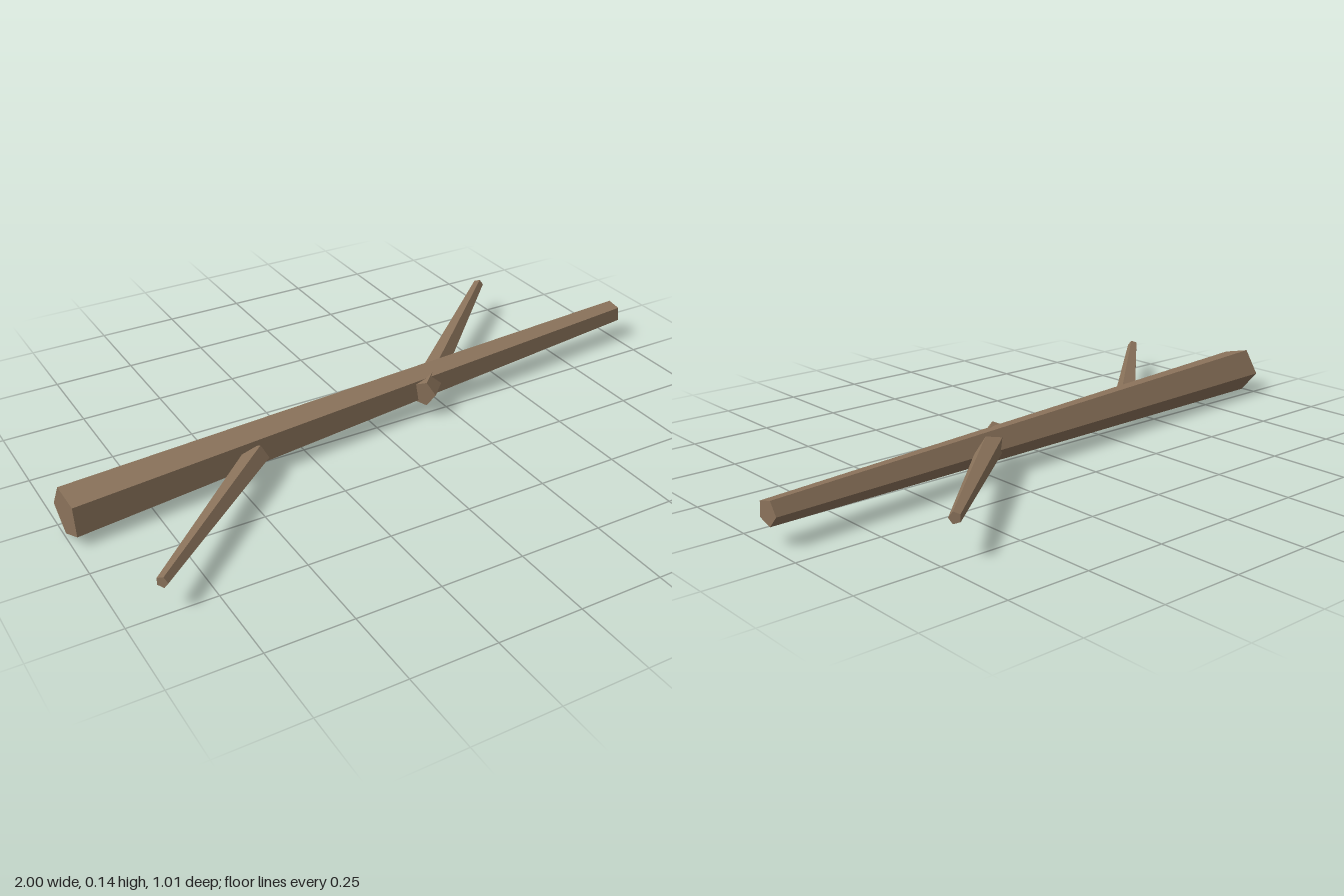
import * as THREE from 'three';

// Tapered five-sided limb from one point to another, with a chosen roll (degrees)
function limb(name, from, to, baseRadius, tipRadius, roll, material) {
  const a = new THREE.Vector3(...from);
  const b = new THREE.Vector3(...to);
  const axis = b.clone().sub(a);
  const length = axis.length();
  axis.normalize();

  // Horizontal direction across the limb, on its front side
  const side = new THREE.Vector3(-axis.z, 0, axis.x).multiplyScalar(Math.sign(axis.x)).normalize();
  const across = axis.clone().cross(side);

  const indexed = new THREE.CylinderGeometry(
    tipRadius, baseRadius, length, 5, 1, false, THREE.MathUtils.degToRad(roll));
  indexed.applyMatrix4(new THREE.Matrix4().makeBasis(across, axis, side));
  const geometry = indexed.toNonIndexed();
  geometry.computeVertexNormals(); // flat facets

  const mesh = new THREE.Mesh(geometry, material);
  mesh.name = name;
  mesh.position.copy(a).add(b).multiplyScalar(0.5);
  return mesh;
}

export function createModel() {
  const wood = new THREE.MeshStandardMaterial({ color: 0x8b735b });
  wood.name = 'wood brown';

  const group = new THREE.Group();
  group.name = 'fallenBranch';
  group.add(
    // Main stem, thick at the right end
    limb('stem', [-0.993, 0.075, 0.066], [0.997, 0.094, -0.123], 0.075, 0.0375, -41, wood),
    // Side twigs, one reaching forward and one reaching back
    limb('frontTwig', [-0.43, 0.075, 0.063], [-0.893, 0.095, 0.492], 0.037, 0.017, 0, wood),
    limb('backTwig', [0.152, 0.084, 0.014], [0.704, 0.115, -0.499], 0.042, 0.017, 0, wood),
  );
  return group;
}
